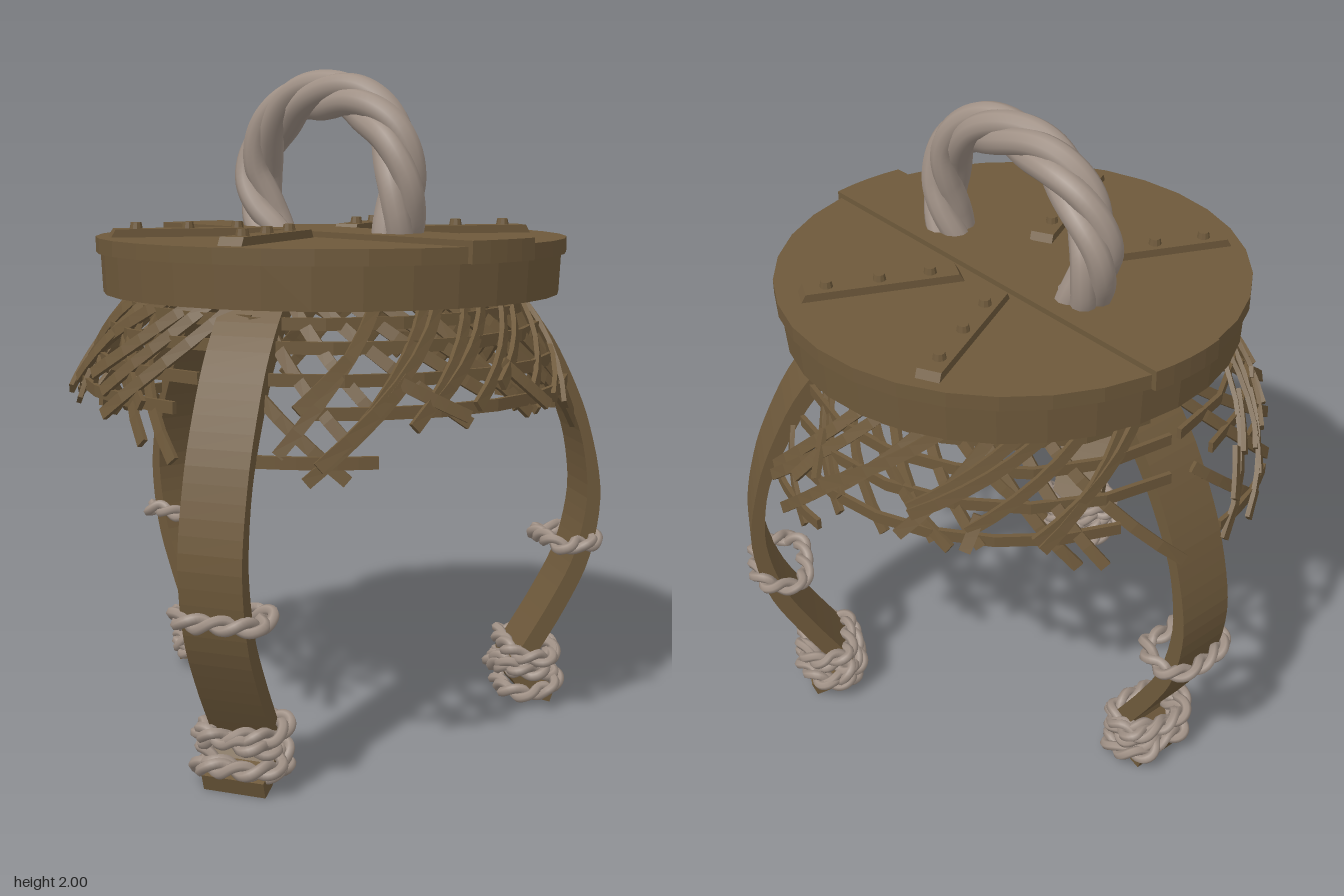
import * as THREE from 'three';

const V = (x, y, z) => new THREE.Vector3(x, y, z);
const wood = new THREE.MeshStandardMaterial({ color: 0x6e593b, flatShading: true });
const ropeMat = new THREE.MeshStandardMaterial({ color: 0xa09186 });
const HUB = 0.06, LID_X = 0.09, RAD = Math.PI / 180;

let seed = 7;
const rnd = (a, b) => {
  seed = (seed * 16807) % 2147483647;
  return a + (b - a) * seed / 2147483647;
};

function add(parent, geometry, material, name) {
  const mesh = new THREE.Mesh(geometry, material);
  mesh.name = name;
  parent.add(mesh);
  return mesh;
}

// Flat strip swept along points; out(p) gives the direction its broad face looks
function ribbon(points, out, width, thick) {
  const pos = [];
  const rings = points.map((p, i) => {
    const t = points[Math.min(i + 1, points.length - 1)].clone()
      .sub(points[Math.max(i - 1, 0)]).normalize();
    const s = out(p).cross(t).normalize();
    const n = t.clone().cross(s);
    const h = thick(i / (points.length - 1)) / 2;
    return [[-1, -1], [1, -1], [1, 1], [-1, 1]].map(([a, b]) =>
      p.clone().addScaledVector(s, a * width / 2).addScaledVector(n, b * h));
  });
  const quad = (a, b, c, d) => [a, b, c, a, c, d].forEach(v => pos.push(v.x, v.y, v.z));
  for (let i = 0; i < rings.length - 1; i++) {
    for (let k = 0; k < 4; k++) {
      const m = (k + 1) % 4;
      quad(rings[i][k], rings[i][m], rings[i + 1][m], rings[i + 1][k]);
    }
  }
  const [a, b, c, d] = rings[0];
  quad(d, c, b, a);
  quad(...rings[rings.length - 1]);
  const g = new THREE.BufferGeometry();
  g.setAttribute('position', new THREE.Float32BufferAttribute(pos, 3));
  g.computeVertexNormals();
  return g;
}

// One strand winding around a base curve
class Strand extends THREE.Curve {
  constructor(base, up, phase, turns, offset) {
    super();
    Object.assign(this, { base, up, phase, turns, offset });
  }
  getPoint(t, target = V(0, 0, 0)) {
    const side = this.base.getTangentAt(t).cross(this.up).normalize();
    const a = this.phase + t * this.turns * Math.PI * 2;
    return target.copy(this.base.getPointAt(t))
      .addScaledVector(side, Math.cos(a) * this.offset)
      .addScaledVector(this.up, Math.sin(a) * this.offset);
  }
}

function rope(name, base, up, o) {
  const g = new THREE.Group();
  g.name = name;
  for (let i = 0; i < o.strands; i++) {
    const path = new Strand(base, up, i / o.strands * Math.PI * 2, o.turns, o.offset);
    add(g, new THREE.TubeGeometry(path, o.segments, o.radius, o.sides, base.closed), ropeMat, 'strand');
  }
  return g;
}

// Squarish closed rope loop around a leg
function legLoop(name, r, y, hx, hz, tilt, roll) {
  const pts = [];
  for (let i = 0; i < 12; i++) {
    const a = i / 12 * Math.PI * 2, c = Math.cos(a), s = Math.sin(a);
    const k = 1 / Math.pow(c ** 4 + s ** 4, 0.25);
    pts.push(V(r + c * k * hx + rnd(-0.01, 0.01),
      y + tilt * c + roll * s + rnd(-0.01, 0.01), s * k * hz + rnd(-0.008, 0.008)));
  }
  return rope(name, new THREE.CatmullRomCurve3(pts, true), V(0, 1, 0),
    { strands: 2, turns: 5, offset: 0.014, radius: 0.0155, segments: 90, sides: 6 });
}

// Horizontal slab from an outline in x and z
function slab(points, y, h) {
  const shape = new THREE.Shape(points.map(([x, z]) => new THREE.Vector2(x, -z)));
  const g = new THREE.ExtrudeGeometry(shape, { depth: h, bevelEnabled: false });
  return g.rotateX(-Math.PI / 2).translate(0, y, 0);
}

function arc(r, a0, a1, n) {
  return Array.from({ length: n + 1 }, (_, i) => {
    const a = a0 + (a1 - a0) * i / n;
    return [r * Math.cos(a), r * Math.sin(a)];
  });
}

function buildLid() {
  const lid = new THREE.Group();
  lid.name = 'lid';
  lid.position.x = LID_X;
  const profile = [[0.635, 1.34], [0.688, 1.34], [0.694, 1.462], [0.635, 1.462], [0.635, 1.34]];
  add(lid, new THREE.LatheGeometry(profile.map(p => new THREE.Vector2(...p)), 32), wood, 'rim');
  // Two side planks and the raised middle plank
  const e = Math.asin(0.122 / 0.71), m = Math.asin(0.122 / 0.724);
  add(lid, slab(arc(0.708, e, Math.PI - e, 14), 1.46, 0.045), wood, 'frontPlank');
  add(lid, slab(arc(0.708, Math.PI + e, 2 * Math.PI - e, 14), 1.46, 0.045), wood, 'backPlank');
  add(lid, slab([...arc(0.724, -m, m, 4), ...arc(0.724, Math.PI - m, Math.PI + m, 4)], 1.46, 0.062), wood, 'middlePlank');
  // Four diagonal straps with rivets
  const trap = new THREE.Shape([[-0.24, 0], [0.24, 0], [0.225, 0.026], [-0.225, 0.026]]
    .map(p => new THREE.Vector2(...p)));
  for (const sx of [-1, 1]) for (const sz of [-1, 1]) {
    const strap = new THREE.Group();
    strap.name = 'strap';
    add(strap, new THREE.ExtrudeGeometry(trap, { depth: 0.072, bevelEnabled: false })
      .translate(0, 0, -0.036), wood, 'strapBar');
    for (const x of [-0.145, 0.005, 0.16]) {
      add(strap, new THREE.CylinderGeometry(0.016, 0.02, 0.02, 10), wood, 'rivet').position.set(x, 0.035, 0);
    }
    strap.position.set(HUB - LID_X + sx * 0.187, 1.503, sz * 0.37);
    strap.rotation.y = -Math.atan2(sz * 0.43, sx * 0.212);
    lid.add(strap);
  }
  return lid;
}

// Bowed leg with a turned-out foot, a rope band and a rope-wrapped ankle
function buildLeg(angle, shift) {
  const leg = new THREE.Group();
  leg.name = 'leg';
  const path = new THREE.CatmullRomCurve3([[0.42, 1.4], [0.545, 1.29], [0.63, 1.19], [0.69, 1.09], [0.768, 0.92], [0.806, 0.76],
    [0.812, 0.65], [0.775, 0.47], [0.70, 0.32], [0.62, 0.19], [0.575, 0.115], [0.6, 0.06], [0.69, 0.022]]
    .map(([r, y]) => V(r + shift, y, 0)));
  add(leg, ribbon(path.getSpacedPoints(36), () => V(1, 0, 0), 0.185,
    u => 0.034 + 0.022 * Math.abs(Math.cos(u * Math.PI * 1.25))), wood, 'legStave');
  leg.add(legLoop('legBand', 0.755 + shift, 0.525, 0.082, 0.118, 0.004, 0));
  // Height, tilt and roll of each ankle loop
  [[0.055, 0.02, -0.01], [0.1, -0.03, 0.015], [0.13, 0.03, 0.01], [0.165, -0.005, -0.012]].forEach(([y, tilt, roll], i) =>
    leg.add(legLoop('ankleRope', 0.622 + shift + rnd(-0.012, 0.012), y,
      0.084 - (i % 2) * 0.01, 0.115 - (i % 3) * 0.008, tilt, roll)));
  leg.position.x = HUB;
  leg.rotation.y = -angle * RAD;
  return leg;
}

// Ragged lattice of thin slats between the legs
function buildWeave() {
  const weave = new THREE.Group();
  weave.name = 'wovenBasket';
  weave.position.x = HUB;
  const radius = y => 0.785 - 0.225 * Math.pow(Math.max(y - 0.8, 0) / 0.54, 2);
  const slat = (a0, y0, a1, y1, lift, flare) => {
    const pts = [];
    for (let i = 0; i <= 6; i++) {
      const u = i / 6, a = (a0 + (a1 - a0) * u) * RAD, y = y0 + (y1 - y0) * u;
      const r = radius(y) + lift + flare * u * u;
      pts.push(V(r * Math.cos(a), y, r * Math.sin(a)));
    }
    add(weave, ribbon(pts, p => V(p.x, 0, p.z).normalize(), 0.034, () => 0.014), wood, 'slat');
  };
  for (const mid of [0, 120, 240]) {
    for (const [y, half] of [[1.3, 57], [1.235, 56], [1.15, 52], [1.07, 44]]) {
      slat(mid - half + rnd(-4, 4), y, mid + half + rnd(-4, 4), y + rnd(-0.012, 0.012), 0.008, 0);
    }
    // Short low rungs with the slats that carry them beside one leg
    slat(mid + 30, 0.95, mid + 54, 0.95, 0.008, 0);
    slat(mid + 22, 1.16, mid + 44, 0.9, 0.02, 0);
    slat(mid + 57, 1.14, mid + 36, 0.9, 0, 0);
    // Diagonals reach lower beside the legs than in the middle of each side
    for (const dir of [-1, 1]) {
      for (let k = 0; k < 10; k++) {
        const start = -dir * 57 + dir * k * 9 + rnd(-3, 3);
        const end = Math.max(-58, Math.min(58, start + dir * rnd(19, 36)));
        const drop = 1.08 - 0.17 * (end / 57) ** 2 + rnd(-0.06, 0.06);
        slat(mid + start, 1.34, mid + end, drop, 0.006 + 0.012 * dir, rnd(-0.01, 0.025));
      }
    }
    // Loose ends
    for (let k = 0; k < 3; k++) {
      const a = mid + rnd(-46, 46), y = rnd(1.12, 1.22);
      slat(a, y, a + rnd(-14, 14), y - rnd(0.08, 0.13), 0.025, 0.01);
    }
  }
  return weave;
}

export function createModel() {
  const model = new THREE.Group();
  model.name = 'ropeHandledStand';
  model.add(buildLid(), buildWeave());
  model.add(buildLeg(180.8, -0.005), buildLeg(60.5, 0.043), buildLeg(-60.5, 0.043));
  // Thick twisted carrying handle
  const arch = new THREE.CatmullRomCurve3([[-0.17, 1.47], [-0.235, 1.57], [-0.262, 1.69], [-0.205, 1.81], [-0.08, 1.9],
    [0.07, 1.922], [0.23, 1.895], [0.355, 1.8], [0.398, 1.68], [0.395, 1.58], [0.37, 1.47]]
    .map(([x, y]) => V(x, y, 0)));
  model.add(rope('handle', arch, V(0, 0, 1),
    { strands: 4, turns: 2, offset: 0.037, radius: 0.039, segments: 80, sides: 10 }));
  return model;
}
